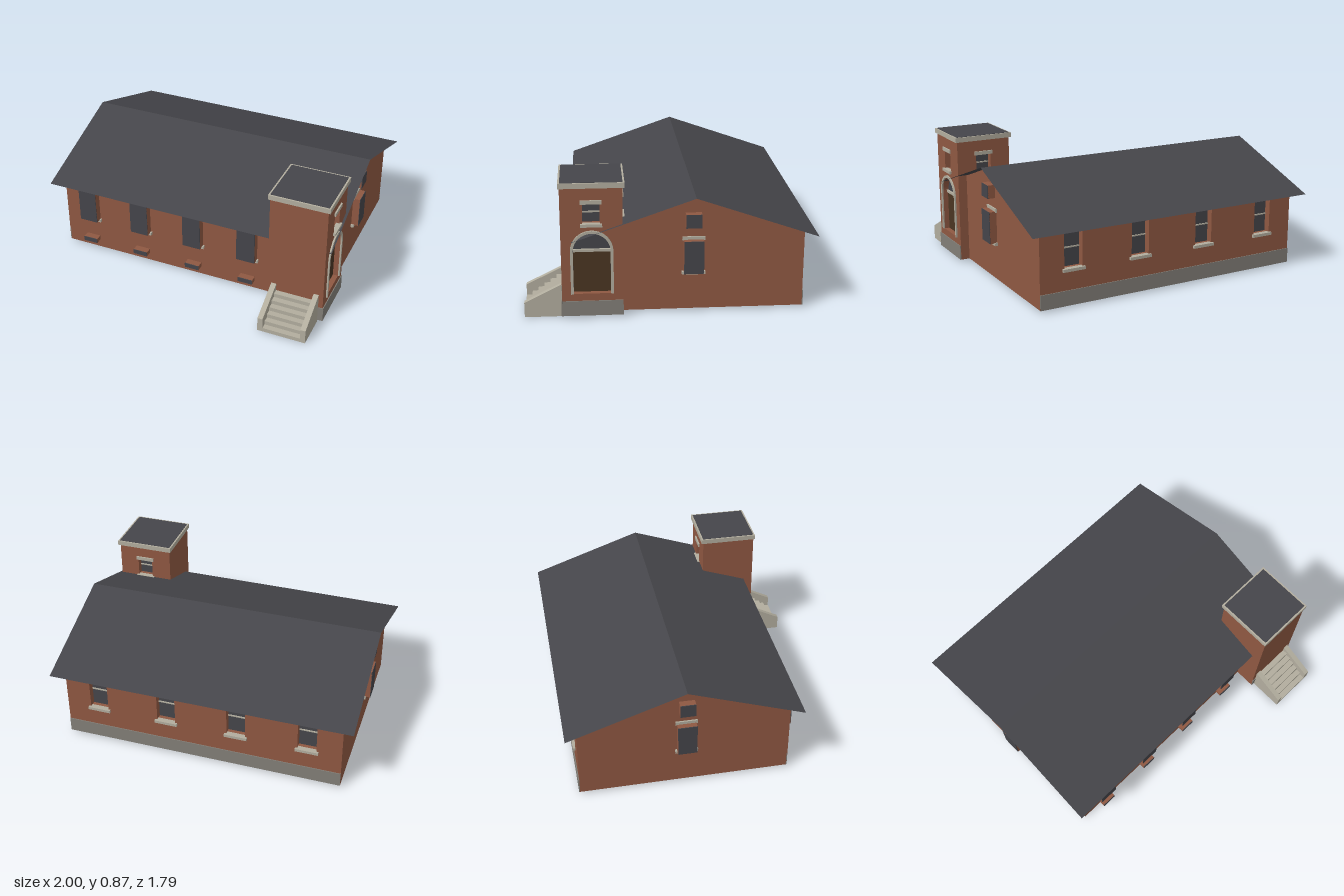
import * as THREE from 'three';

const mat = (name, color, side = THREE.DoubleSide) => {
  const m = new THREE.MeshStandardMaterial({ color, side });
  m.name = name;
  return m;
};

export function createModel() {
  const brick = mat('brick', 0x8f5842);
  const dark = mat('slate and glass', 0x45454a);
  const stone = mat('pale stone', 0xb2ad9e);
  const base = mat('foundation stone', 0x827e77);
  const wood = mat('door wood', 0x4a3522);

  const root = new THREE.Group();
  root.name = 'brickHall';

  const add = (parent, name, geo, material, x = 0, y = 0, z = 0) => {
    const m = new THREE.Mesh(geo, material);
    m.name = name;
    m.position.set(x, y, z);
    parent.add(m);
    return m;
  };
  // Box given by its minimum and maximum corners
  const box = (parent, name, material, [x0, y0, z0], [x1, y1, z1]) =>
    add(parent, name, new THREE.BoxGeometry(x1 - x0, y1 - y0, z1 - z0), material,
      (x0 + x1) / 2, (y0 + y1) / 2, (z0 + z1) / 2);
  const poly = (pts) => new THREE.Shape(pts.map(([x, y]) => new THREE.Vector2(x, y)));
  const rect = (x0, y0, x1, y1) => poly([[x0, y0], [x1, y0], [x1, y1], [x0, y1]]);
  const extrude = (shape, depth) =>
    new THREE.ExtrudeGeometry(shape, { depth, bevelEnabled: false, curveSegments: 16 });

  const FLOOR = 0.015, REVEAL = 0.047;

  // Window set in a brick reveal behind the wall plane; the trimmed side faces local +z
  function addWindow(parent, { u, y0, y1, w, trim }) {
    const g = new THREE.Group();
    g.name = 'window';
    g.position.x = u;
    parent.add(g);
    const h = w / 2, t = 0.003;
    const ring = rect(-h - t, y0 - t, h + t, y1 + t);
    ring.holes.push(rect(-h, y0, h, y1));
    add(g, 'reveal', extrude(ring, REVEAL), brick, 0, 0, -REVEAL);
    box(g, 'pane', dark, [-h - t, y0 - t, -REVEAL - 0.003], [h + t, y1 + t, -REVEAL + 0.002]);
    if (!trim) return;
    const m = (y0 + y1) / 2;
    box(g, 'lintel', stone, [-h - 0.012, y1 - 0.002, -0.01], [h + 0.012, y1 + 0.022, 0.01]);
    box(g, 'sill', stone, [-h - 0.014, y0 - 0.018, -0.02], [h + 0.014, y0 + 0.001, 0.016]);
    box(g, 'meetingRail', stone, [-h, m - 0.004, -REVEAL], [h, m + 0.004, -REVEAL + 0.008]);
  }

  // Flat wall with window openings; local z is the trimmed side
  function addWall(name, outline, windows, pos, rotY, band, extraHole) {
    const g = new THREE.Group();
    g.name = name;
    g.position.set(...pos);
    g.rotation.y = rotY;
    root.add(g);
    const shape = poly(outline);
    windows.forEach(({ u, y0, y1, w }) => shape.holes.push(rect(u - w / 2, y0, u + w / 2, y1)));
    if (extraHole) shape.holes.push(extraHole);
    add(g, 'brickwork', new THREE.ShapeGeometry(shape, 16), brick);
    windows.forEach((w) => addWindow(g, w));
    if (band) box(g, 'foundationBand', base, [band[0], FLOOR, 0.0005], [band[1], 0.112, 0.006]);
    return g;
  }
  const flat = (a, b, top) => [[a, FLOOR], [b, FLOOR], [b, top], [a, top]];

  // Hall dimensions
  const X = 0.925, ZB = -0.825, ZF = 0.525, RIDGE = -0.15;
  const T = { x0: 0.612, x1: 0.984, z0: 0.29, z1: 0.663, top: 0.835 };
  const roofY = (z) => 0.755 - 0.347 * Math.abs(z - RIDGE);
  const eave = roofY(ZB) - 0.002;

  // Back wall, trimmed side outward
  addWall('backWall', flat(-X, X, eave),
    [-0.7, -0.235, 0.235, 0.7].map((u) => ({ u, y0: 0.25, y1: 0.487, w: 0.123, trim: true })),
    [0, 0, ZB], Math.PI, [-X, X]);

  // Front wall, trimmed side inward, window boxes and vents standing out
  const bays = [-0.735, -0.349, 0.036, 0.42];
  addWall('frontWall', flat(-T.x0, X, eave), [
    ...bays.map((x) => ({ u: -x, y0: 0.252, y1: 0.484, w: 0.12, trim: true })),
    ...bays.map((x) => ({ u: -x, y0: 0.077, y1: 0.102, w: 0.094 })),
  ], [0, 0, ZF], Math.PI, [-T.x0, X]);

  // Gable walls, also trimmed inward
  for (const s of [1, -1]) {
    const zf = s > 0 ? T.z0 : ZF;
    const outline = [[ZB, FLOOR], [zf, FLOOR], [zf, roofY(zf) - 0.002],
      [RIDGE, roofY(RIDGE) - 0.002], [ZB, eave]].map(([z, y]) => [s * z, y]);
    addWall(s > 0 ? 'leftGable' : 'rightGable', outline, [
      { u: s * -0.142, y0: 0.266, y1: 0.469, w: 0.116, trim: true },
      { u: s * -0.14, y0: 0.561, y1: 0.641, w: 0.092 },
    ], [s * X, 0, 0], -s * Math.PI / 2, [Math.min(s * ZB, s * zf), Math.max(s * ZB, s * zf)]);
  }

  // Thin sheet roof, two slopes
  for (const [name, z] of [['frontRoof', 0.6], ['backRoof', -0.9]]) {
    const run = Math.abs(z - RIDGE), drop = 0.755 - roofY(z);
    const geo = new THREE.PlaneGeometry(2, Math.hypot(run, drop));
    geo.rotateX(-Math.PI / 2);
    geo.rotateX(Math.sign(z - RIDGE) * Math.atan2(drop, run));
    add(root, name, geo, dark, 0, 0.755 - drop / 2, (z + RIDGE) / 2);
  }

  // Tower walls
  const small = { y0: 0.608, y1: 0.734, w: 0.104, trim: true };
  const doorU = -0.478, doorY = 0.158, springY = 0.435;
  const arch = (r, cx = 0) => {
    const s = new THREE.Shape();
    s.moveTo(cx - r, doorY);
    s.lineTo(cx + r, doorY);
    s.lineTo(cx + r, springY);
    s.absarc(cx, springY, r, 0, Math.PI, false);
    s.closePath();
    return s;
  };
  addWall('towerFront', flat(T.x0, T.x1, T.top), [], [0, 0, T.z1], 0, [T.x0, T.x1 + 0.006]);
  addWall('towerBack', flat(-T.x1, -T.x0, T.top), [{ u: -0.8, ...small }], [0, 0, T.z0], Math.PI);
  addWall('towerInnerSide', flat(T.z0, T.z1, T.top), [], [T.x0, 0, 0], -Math.PI / 2);
  const side = addWall('towerDoorSide', flat(-T.z1, -T.z0, T.top), [{ u: doorU, ...small }],
    [T.x1, 0, 0], Math.PI / 2, [-T.z1, -T.z0], arch(0.115, doorU));

  // Arched doorway
  const door = new THREE.Group();
  door.name = 'doorway';
  door.position.x = doorU;
  side.add(door);
  const hoop = (r, R) => {
    const s = new THREE.Shape();
    s.moveTo(-R, doorY);
    s.lineTo(-r, doorY);
    s.lineTo(-r, springY);
    s.absarc(0, springY, r, Math.PI, 0, true);
    s.lineTo(r, doorY);
    s.lineTo(R, doorY);
    s.lineTo(R, springY);
    s.absarc(0, springY, R, 0, Math.PI, false);
    s.closePath();
    return s;
  };
  add(door, 'archTrim', extrude(hoop(0.113, 0.13), 0.01), stone);
  add(door, 'archReveal', extrude(hoop(0.114, 0.117), 0.04), brick, 0, 0, -0.04);
  box(door, 'threshold', brick, [-0.115, doorY - 0.004, -0.04], [0.115, doorY, 0]);
  add(door, 'fanlight', new THREE.ShapeGeometry(arch(0.115), 16), dark, 0, 0, -0.04);
  box(door, 'doorPanel', wood, [-0.113, doorY, -0.039], [0.113, 0.425, -0.034]);
  box(door, 'transom', stone, [-0.113, 0.42, -0.039], [0.113, 0.436, -0.025]);

  // Tower cap
  box(root, 'towerCap', stone, [0.6, 0.832, 0.277], [0.997, 0.864, 0.671]);
  box(root, 'towerRoof', dark, [0.611, 0.86, 0.288], [0.986, 0.866, 0.66]);

  // Front steps between sloping cheek walls
  const steps = 6, zTop = 0.665, tread = 0.23 / steps, rise = 0.16 / steps;
  for (let i = 0; i < steps; i++) {
    const top = 0.16 - i * rise, z = zTop + i * tread;
    box(root, 'step', stone, [0.67, top - rise, z], [0.925, top, z + tread]);
  }
  for (const x of [0.638, 0.921]) {
    const cheek = poly([[-0.895, 0], [-zTop, 0], [-zTop, 0.21], [-0.895, 0.095]]);
    const m = add(root, 'stepCheek', extrude(cheek, 0.034), stone, x, 0, 0);
    m.rotation.y = Math.PI / 2;
  }
  return root;
}
